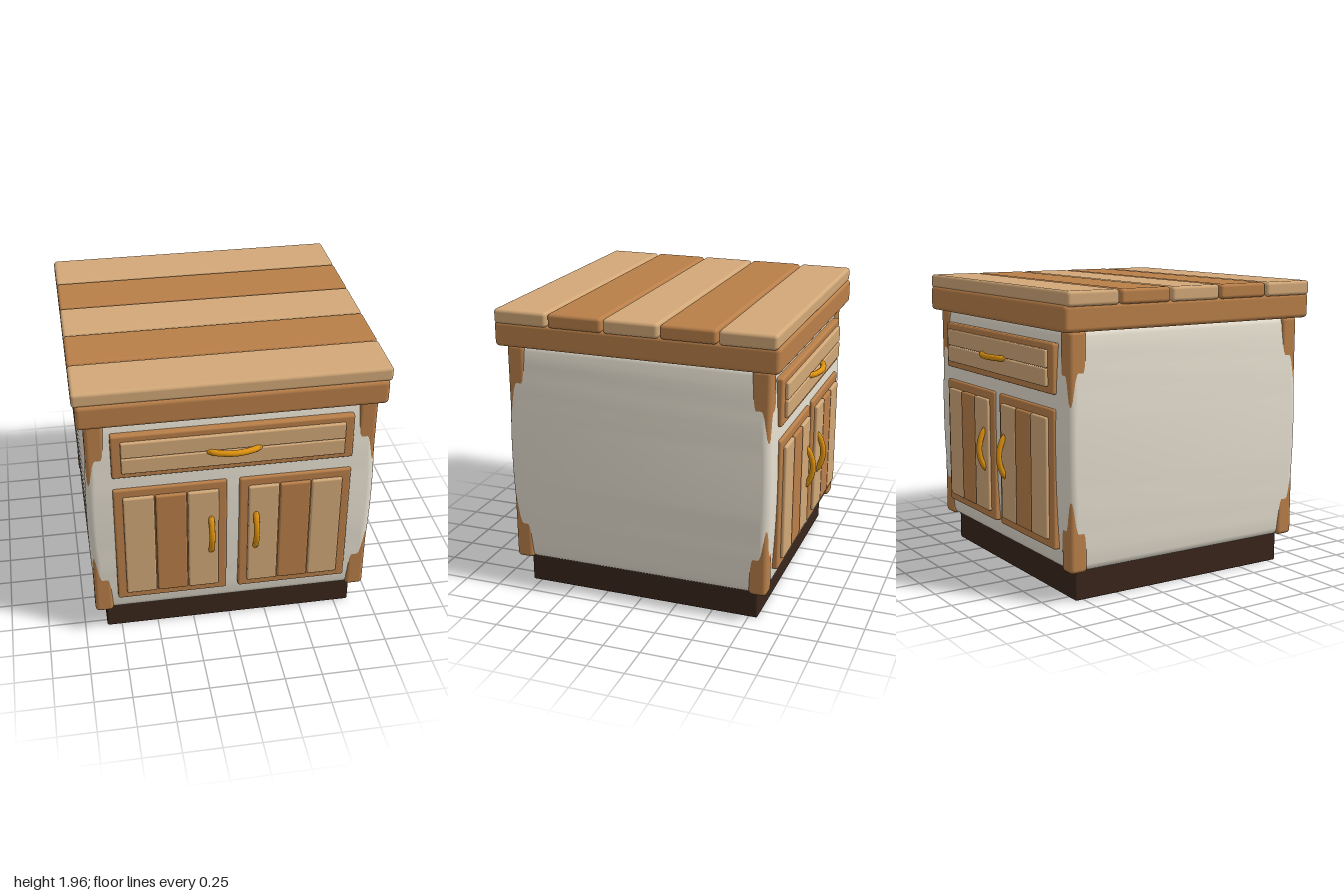
import * as THREE from 'three';
import { RoundedBoxGeometry } from 'three/addons/geometries/RoundedBoxGeometry.js';
import { toCreasedNormals } from 'three/addons/utils/BufferGeometryUtils.js';

const mat = (color) => new THREE.MeshStandardMaterial({ color });

export function createModel() {
  const root = new THREE.Group();
  const cream = mat(0xe6dfd0), oak = mat(0xb97f49), pale = mat(0xd2a878);
  const dark = mat(0x3a251b), brass = mat(0xdf920f);

  const add = (parent, name, geometry, material) => {
    const m = new THREE.Mesh(geometry, material);
    m.name = name;
    parent.add(m);
    return m;
  };
  // Rounded block given by its extents on each axis
  const block = (parent, name, material, [x0, x1], [y0, y1], [z0, z1], r) => {
    const g = new RoundedBoxGeometry(x1 - x0, y1 - y0, z1 - z0, 3, r);
    return add(parent, name, g.translate((x0 + x1) / 2, (y0 + y1) / 2, (z0 + z1) / 2), material);
  };

  // Plinth
  block(root, 'plinth', dark, [-0.85, 0.85], [0, 0.24], [-0.81, 0.81], 0.012);

  // Body: rounded rectangle extruded upwards, sides swelling at mid height
  const bevel = 0.05, hx = 0.94, hz = 0.9, r = 0.06, y0 = 0.2, y1 = 1.72;
  const w = hx - bevel, d = hz - bevel, c = r - bevel;
  const outline = new THREE.Shape();
  outline.moveTo(w - c, -d);
  outline.absarc(w - c, -d + c, c, -Math.PI / 2, 0);
  outline.absarc(w - c, d - c, c, 0, Math.PI / 2);
  outline.absarc(-w + c, d - c, c, Math.PI / 2, Math.PI);
  outline.absarc(-w + c, -d + c, c, Math.PI, Math.PI * 1.5);
  const body = new THREE.ExtrudeGeometry(outline, {
    depth: y1 - y0 - 2 * bevel, steps: 16, curveSegments: 5,
    bevelThickness: bevel, bevelSize: bevel, bevelSegments: 4,
  });
  body.rotateX(-Math.PI / 2).translate(0, y0 + bevel, 0);
  const p = body.attributes.position;
  for (let i = 0; i < p.count; i++) {
    const t = (p.getY(i) - 0.955) / 0.755;
    const inset = 0.034 * t * t;
    p.setX(i, p.getX(i) * (1 - inset / hx));
    p.setZ(i, p.getZ(i) * (1 - inset / hz));
  }
  add(root, 'body', toCreasedNormals(body, 0.7), cream);

  // Corner posts, partly swallowed by the swelling body
  for (const sx of [-1, 1]) for (const sz of [-1, 1]) {
    const post = add(root, 'cornerPost', new RoundedBoxGeometry(0.123, 1.51, 0.123, 3, 0.028), oak);
    post.position.set(sx * 0.8635, 0.957, sz * 0.8245);
  }

  // Worktop: frame with five planks in alternating tones
  block(root, 'worktopFrame', oak, [-0.97, 0.97], [1.705, 1.872], [-0.945, 0.945], 0.028);
  for (let i = -2; i <= 2; i++) {
    const z = i * 0.3755;
    block(root, 'worktopPlank', i % 2 ? oak : pale, [-0.987, 0.987], [1.86, 1.955],
      [z - 0.182, z + 0.182], 0.022);
  }

  // Bowed handle running along x
  const handle = (parent, half) => {
    const g = new THREE.Group();
    g.name = 'handle';
    const pts = [[-1, -0.06], [-0.9, -0.036], [-0.5, -0.011], [0, 0], [0.5, -0.011], [0.9, -0.036], [1, -0.06]]
      .map(([x, z]) => new THREE.Vector3(x * half, 0, z));
    add(g, 'handleBow', new THREE.TubeGeometry(new THREE.CatmullRomCurve3(pts), 28, 0.02, 10), brass);
    for (const s of [-1, 1]) {
      add(g, 'handleFoot', new THREE.SphereGeometry(0.021, 12, 8), brass).position.set(s * half, 0, -0.05);
    }
    parent.add(g);
    return g;
  };

  // Same drawer and pair of doors on the front and the back
  const frameZ = [0.84, 0.917], panelZ = [0.87, 0.94];
  for (const side of ['front', 'back']) {
    const face = new THREE.Group();
    face.name = side + 'Face';
    if (side === 'back') face.rotation.y = Math.PI;
    root.add(face);

    block(face, 'drawerFrame', oak, [-0.77, 0.77], [1.31, 1.625], frameZ, 0.014);
    block(face, 'drawerSlat', pale, [-0.71, 0.71], [1.355, 1.467], panelZ, 0.01);
    block(face, 'drawerSlat', pale, [-0.71, 0.71], [1.471, 1.583], panelZ, 0.01);
    handle(face, 0.157).position.set(0, 1.467, 0.98);

    for (const s of [-1, 1]) {
      const span = (a, b) => (s > 0 ? [a, b] : [-b, -a]);
      block(face, 'doorFrame', oak, span(0.04, 0.77), [0.33, 1.22], frameZ, 0.014);
      for (let i = 0; i < 3; i++) {
        const x = 0.097 + i * 0.207;
        block(face, 'doorSlat', i === 1 ? oak : pale, span(x, x + 0.2), [0.387, 1.163], panelZ, 0.012);
      }
      const h = handle(face, 0.135);
      h.rotation.z = Math.PI / 2;
      h.position.set(s * 0.147, 0.815, 0.978);
    }
  }
  return root;
}
